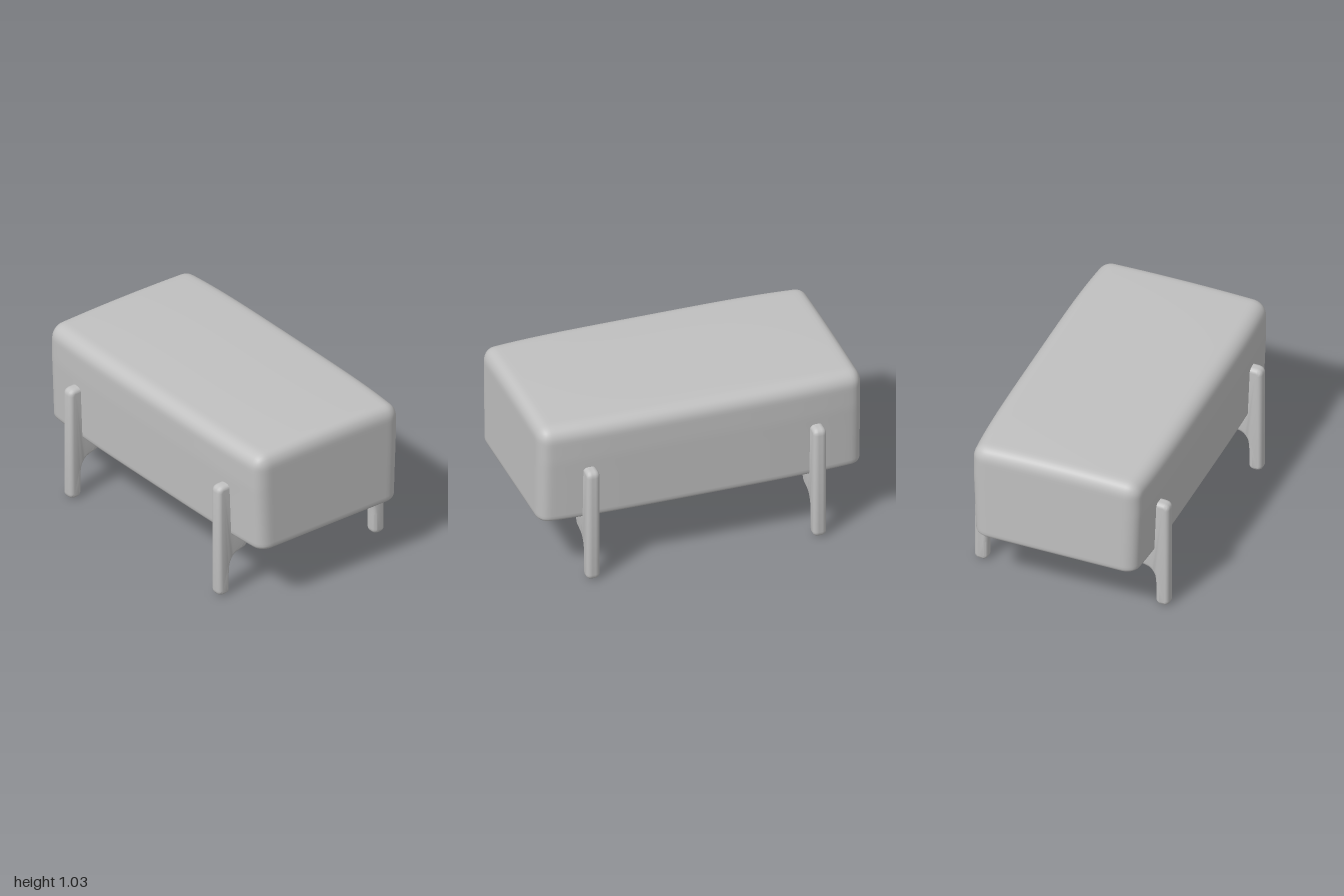
import * as THREE from 'three';
import { mergeVertices, toCreasedNormals } from 'three/addons/utils/BufferGeometryUtils.js';

const { clamp } = THREE.MathUtils;

// Drop seams so that normals are smooth over the whole surface
function weld(geo) {
  geo.deleteAttribute('uv');
  geo.deleteAttribute('normal');
  const welded = mergeVertices(geo, 1e-5);
  welded.computeVertexNormals();
  return welded;
}

// Soft block: rounded edges, a slight crown and ends that narrow a little
function cushionGeometry() {
  const half = [1, 0.33, 0.55];
  const geo = new THREE.BoxGeometry(2, 2, 2, 48, 32, 40);
  const pos = geo.attributes.position;
  const dense = (t) => Math.sin(t * Math.PI / 2); // more rows near the edges
  for (let i = 0; i < pos.count; i++) {
    const p = [pos.getX(i), pos.getY(i), pos.getZ(i)].map((t, k) => dense(t) * half[k]);
    const r = [0.07, p[1] > 0 ? 0.09 : 0.04, 0.09];
    const inner = p.map((v, k) => clamp(v, -(half[k] - r[k]), half[k] - r[k]));
    const d = p.map((v, k) => (v - inner[k]) / r[k]);
    const len = Math.hypot(...d) || 1;
    let [x, y, z] = inner.map((v, k) => v + d[k] / len * r[k]);
    z *= 1 - 0.05 * x ** 4 - 0.03 * clamp((0.1 - y) / 0.43, 0, 1);
    if (y > 0) y -= y / 0.33 * (0.012 * (z / 0.55) ** 2 + 0.008 * x ** 4);
    pos.setXYZ(i, x, y + 0.7, z);
  }
  return weld(geo);
}

// Leg pair joined by a thin cross rail, drawn in the z-y plane
function legFrameGeometry() {
  const v = (x, y) => new THREE.Vector2(x, y);
  const path = new THREE.Path();
  path.moveTo(0, 0.335);
  path.splineThru([v(0.1, 0.33), v(0.22, 0.33), v(0.3, 0.34), v(0.37, 0.335),
    v(0.393, 0.303), v(0.413, 0.274), v(0.45, 0.262), v(0.495, 0.245), v(0.523, 0.2), v(0.53, 0.13)]);
  path.lineTo(0.53, 0.035);
  path.quadraticCurveTo(0.53, 0, 0.572, 0);
  path.quadraticCurveTo(0.615, 0, 0.615, 0.035);
  path.lineTo(0.615, 0.695);
  path.quadraticCurveTo(0.615, 0.735, 0.565, 0.735);
  path.lineTo(0.47, 0.735);
  path.lineTo(0.47, 0.43);
  const right = path.getPoints(5);
  const left = right.slice(1).reverse().map((p) => v(-p.x, p.y));
  const geo = new THREE.ExtrudeGeometry(new THREE.Shape([...right, ...left]), {
    depth: 0.02, bevelEnabled: true, bevelThickness: 0.03, bevelSize: 0.025,
    bevelOffset: -0.025, bevelSegments: 5,
  });
  geo.translate(0, 0, -0.01);
  geo.rotateY(-Math.PI / 2);
  return toCreasedNormals(weld(geo), 0.7);
}

export function createModel() {
  const group = new THREE.Group();
  group.name = 'bench';
  const grey = new THREE.MeshStandardMaterial({ color: 0xc0c0c0 });
  grey.name = 'light grey';

  const cushion = new THREE.Mesh(cushionGeometry(), grey);
  cushion.name = 'cushion';
  group.add(cushion);

  // One leg frame near each end
  const frameGeo = legFrameGeometry();
  for (const [name, x] of [['leftLegFrame', 0.7], ['rightLegFrame', -0.7]]) {
    const frame = new THREE.Mesh(frameGeo, grey);
    frame.name = name;
    frame.position.x = x;
    group.add(frame);
  }
  return group;
}
